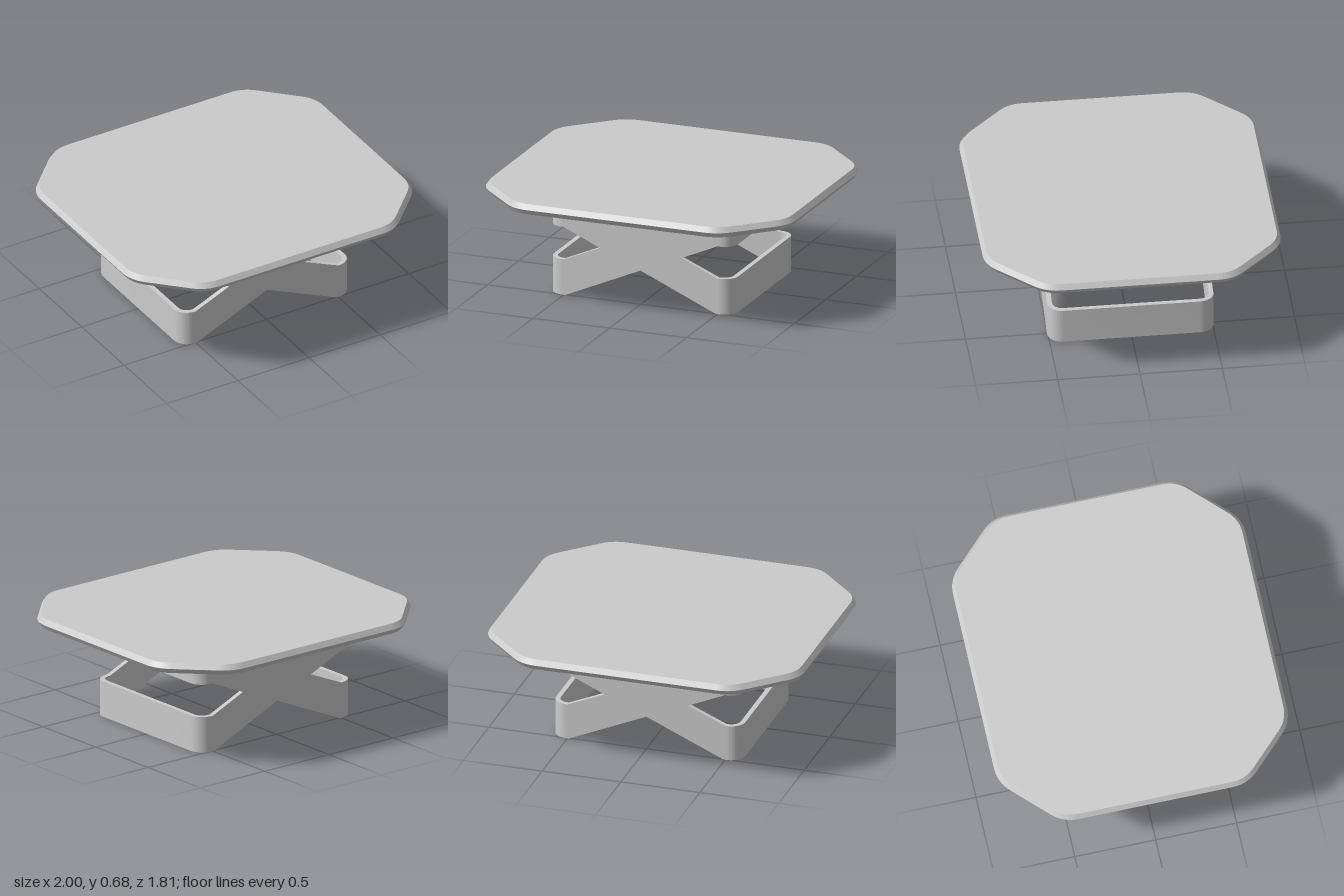
import * as THREE from 'three';
import { toCreasedNormals } from 'three/addons/utils/BufferGeometryUtils.js';

const material = new THREE.MeshStandardMaterial({ color: 0xcccccc });

function addMesh(parent, name, geometry) {
  const mesh = new THREE.Mesh(toCreasedNormals(geometry, 0.55), material);
  mesh.name = name;
  parent.add(mesh);
  return mesh;
}

// Closed outline whose corners are rounded, starting a distance t from each corner
function roundedOutline(points, t) {
  const shape = new THREE.Shape();
  const corners = points.map(([x, y]) => new THREE.Vector2(x, y));
  corners.forEach((p, i) => {
    const prev = corners[(i + corners.length - 1) % corners.length];
    const next = corners[(i + 1) % corners.length];
    const a = prev.clone().sub(p).setLength(t).add(p);
    const b = next.clone().sub(p).setLength(t).add(p);
    if (i === 0) shape.moveTo(a.x, a.y);
    else shape.lineTo(a.x, a.y);
    shape.quadraticCurveTo(p.x, p.y, b.x, b.y);
  });
  shape.closePath();
  return shape;
}

// Octagonal top with a pointed, double-chamfered rim
function createTop() {
  const bevel = 0.022, X = 1 - bevel, Z = 0.905 - bevel, cx = 0.656, cz = 0.561;
  const shape = roundedOutline([
    [X, -cz], [X, cz], [cx, Z], [-cx, Z], [-X, cz], [-X, -cz], [-cx, -Z], [cx, -Z],
  ], 0.085);
  const geometry = new THREE.ExtrudeGeometry(shape, {
    depth: 0.001, bevelEnabled: true, bevelSize: bevel, bevelThickness: 0.032,
    bevelSegments: 1, curveSegments: 8,
  });
  return geometry.rotateX(-Math.PI / 2).translate(0, 0.647, 0);
}

const HALF_X = 0.6, HALF_Z = 0.505, WALL = 0.03, RADIUS = 0.09;
const LOWER_TOP = 0.225, UPPER_BOTTOM = 0.43, BASE_TOP = 0.616;

// Crossed panel with side notches and a V cut in the bottom
function createCrossPanel() {
  const e = HALF_X - RADIUS;
  const half = [
    [0.49, 0], [e, 0], [e, LOWER_TOP], [0.5, LOWER_TOP],
    [0.265, 0.326], [0.5, UPPER_BOTTOM], [e, UPPER_BOTTOM], [e, BASE_TOP],
  ];
  const mirrored = half.map(([x, y]) => [-x, y]).reverse();
  const outline = [[0, 0.215], ...half, ...mirrored];
  const shape = new THREE.Shape(outline.map(([x, y]) => new THREE.Vector2(x, y)));
  return new THREE.ExtrudeGeometry(shape, { depth: WALL, bevelEnabled: false });
}

// U-shaped end band joining the front and back panels
function createEndBand(y0, y1) {
  const x = HALF_X - RADIUS, z = HALF_Z - RADIUS, r = RADIUS - WALL, q = Math.PI / 2;
  const shape = new THREE.Shape();
  shape.moveTo(x, -HALF_Z);
  shape.absarc(x, -z, RADIUS, -q, 0, false);
  shape.absarc(x, z, RADIUS, 0, q, false);
  shape.lineTo(x, HALF_Z - WALL);
  shape.absarc(x, z, r, q, 0, true);
  shape.absarc(x, -z, r, 0, -q, true);
  shape.closePath();
  return new THREE.ExtrudeGeometry(shape, {
    depth: y1 - y0, bevelEnabled: false, curveSegments: 10,
  }).rotateX(-Math.PI / 2).translate(0, y0, 0);
}

export function createModel() {
  const table = new THREE.Group();
  table.name = 'coffeeTable';
  addMesh(table, 'tableTop', createTop());

  const base = new THREE.Group();
  base.name = 'base';
  table.add(base);

  addMesh(base, 'frontCrossPanel', createCrossPanel()).position.z = HALF_Z - WALL;
  addMesh(base, 'backCrossPanel', createCrossPanel()).position.z = -HALF_Z;

  for (const [side, turn] of [['left', 0], ['right', Math.PI]]) {
    addMesh(base, side + 'LowerBand', createEndBand(0, LOWER_TOP)).rotation.y = turn;
    addMesh(base, side + 'UpperBand', createEndBand(UPPER_BOTTOM, BASE_TOP)).rotation.y = turn;
  }
  return table;
}
